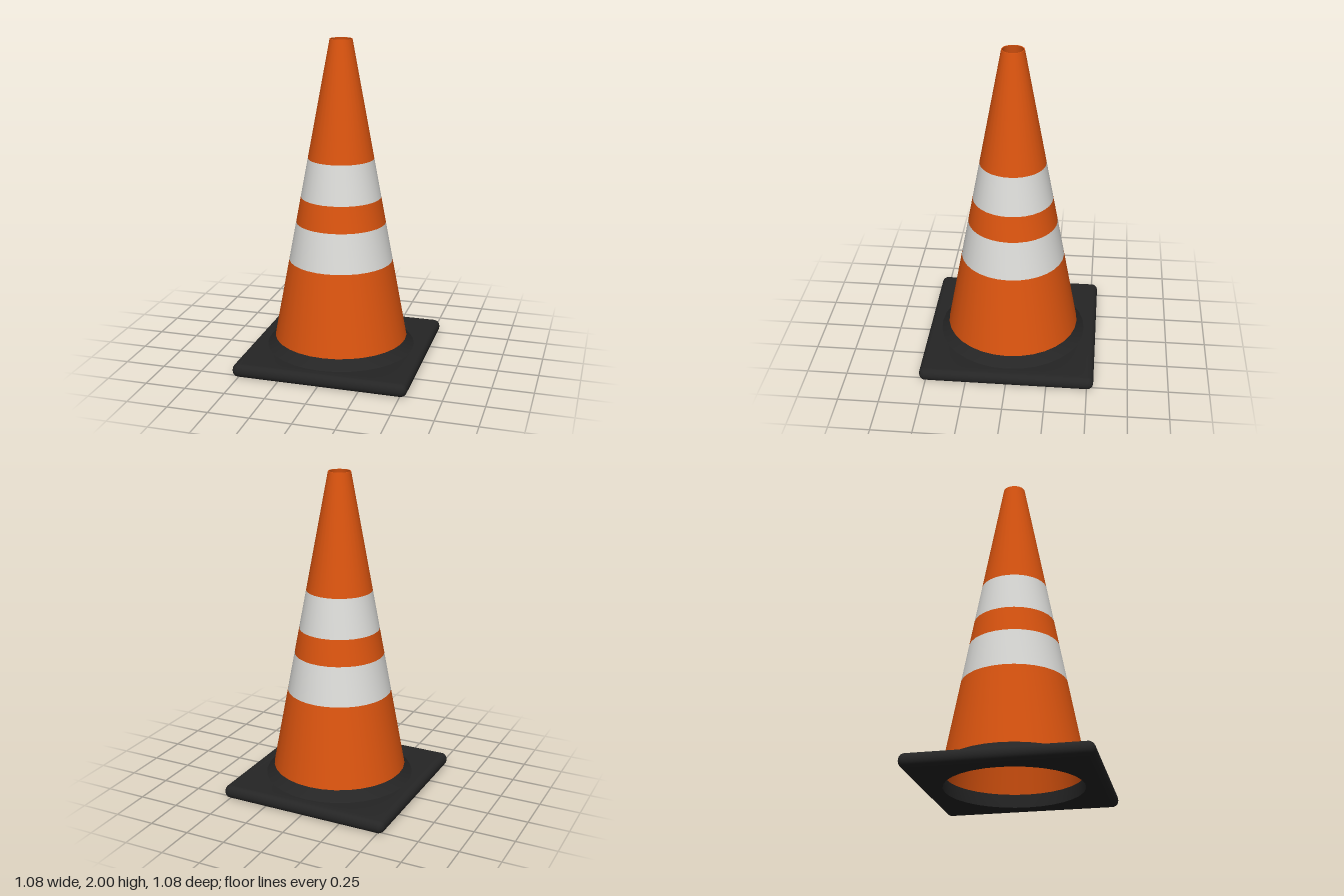
import * as THREE from 'three';
import { toCreasedNormals } from 'three/addons/utils/BufferGeometryUtils.js';

const SIDES = 32;

function material(name, color) {
  const m = new THREE.MeshStandardMaterial({ color });
  m.name = name;
  return m;
}

// Profile of [radius, height] pairs turned around the y axis
function turned(profile) {
  const points = profile.map(([r, y]) => new THREE.Vector2(r, y));
  return toCreasedNormals(new THREE.LatheGeometry(points, SIDES), 0.5);
}

// Rounded square plate with a round opening and rolled edges
function plateGeometry(half, corner, hole, height, bevel) {
  const s = new THREE.Shape();
  const c = half - corner;
  s.absarc(c, c, corner, 0, Math.PI / 2);
  s.absarc(-c, c, corner, Math.PI / 2, Math.PI);
  s.absarc(-c, -c, corner, Math.PI, Math.PI * 1.5);
  s.absarc(c, -c, corner, Math.PI * 1.5, Math.PI * 2);
  s.closePath();
  s.holes.push(new THREE.Path().absarc(0, 0, hole, 0, Math.PI * 2, true));
  const g = new THREE.ExtrudeGeometry(s, {
    depth: height - 2 * bevel, bevelThickness: bevel, bevelSize: bevel,
    bevelOffset: -bevel, bevelSegments: 4, curveSegments: 16,
  });
  g.translate(0, 0, bevel).rotateX(-Math.PI / 2);
  return toCreasedNormals(g, 0.6);
}

export function createModel() {
  const model = new THREE.Group();
  model.name = 'trafficCone';
  const orange = material('orange', 0xdb540f);
  const white = material('reflectiveWhite', 0xdcdcd9);
  const black = material('blackRubber', 0x252525);

  const add = (name, geometry, mat) => {
    const mesh = new THREE.Mesh(geometry, mat);
    mesh.name = name;
    model.add(mesh);
  };

  // Square foot and the sloped collar around the cone
  add('basePlate', plateGeometry(0.54, 0.04, 0.43, 0.08, 0.035), black);
  add('collar', turned([
    [0.412, 0], [0.466, 0], [0.466, 0.078], [0.46, 0.082], [0.414, 0.14], [0.41, 0.08], [0.412, 0],
  ]), black);

  // Outer wall, in alternating bands from bottom to top
  const radius = (y) => 0.415 - (y - 0.14) * 0.1866;
  const heights = [0.14, 0.64, 0.88, 1.04, 1.28, 2];
  for (let i = 0; i < heights.length - 1; i++) {
    const [a, b] = [heights[i], heights[i + 1]];
    const striped = i % 2 === 1;
    add(striped ? 'reflectiveBand' : 'coneBand',
      turned([[radius(a), a], [radius(b), b]]), striped ? white : orange);
  }

  // Top rim and hollow inside
  add('coneInside', turned([[radius(2), 2], [0.062, 2], [0.409, 0.08]]), orange);

  return model;
}
